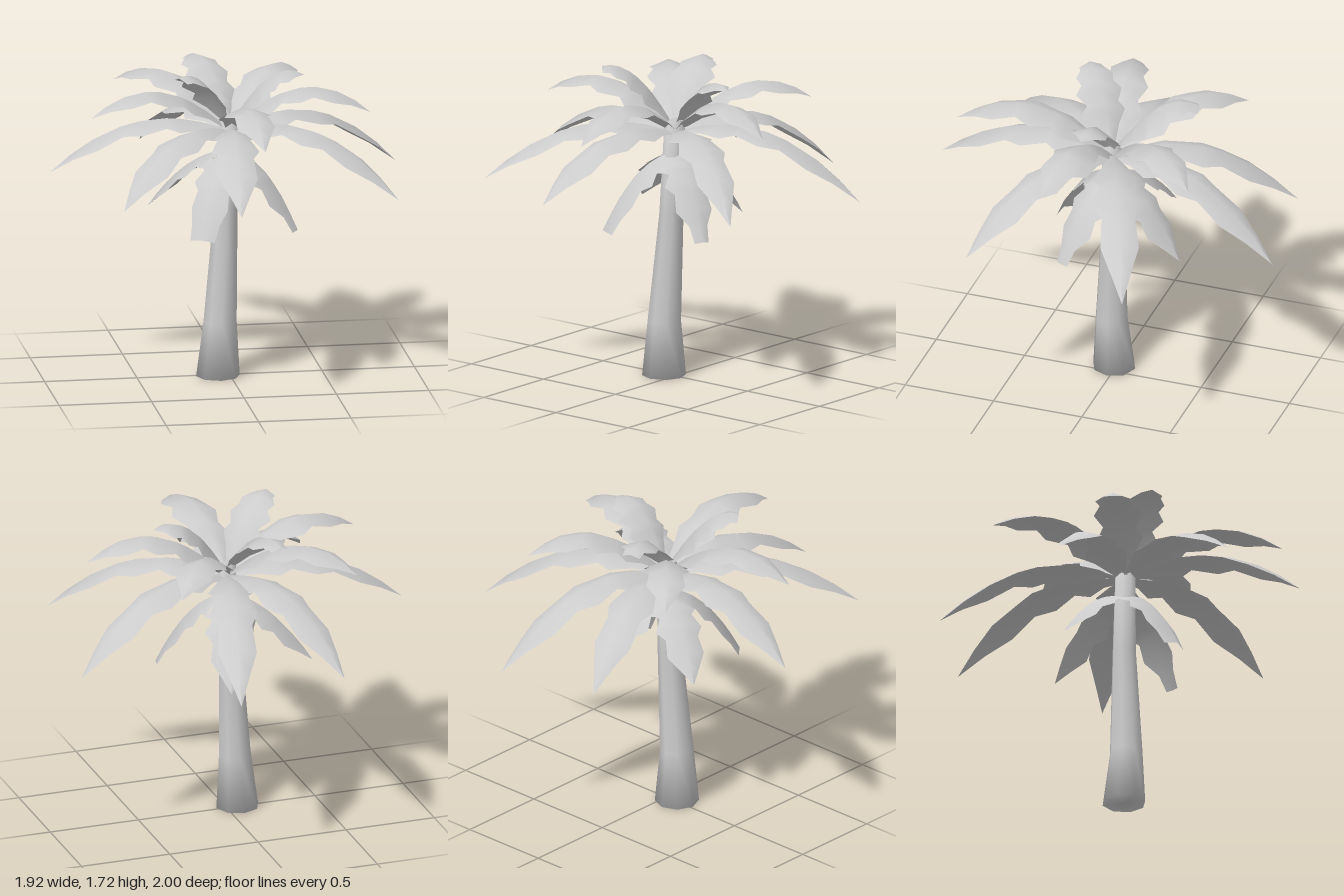
import * as THREE from 'three';
import { toCreasedNormals } from 'three/addons/utils/BufferGeometryUtils.js';

const bark = new THREE.MeshStandardMaterial({ color: 0xcccccc });
const leaf = new THREE.MeshStandardMaterial({ color: 0xcccccc, side: THREE.DoubleSide });

// Leaf outline: [distance along the frond, half width], with notched edges
const OUTLINE = [
  [0, 0.03], [0.13, 0.07], [0.25, 0.122], [0.33, 0.088], [0.48, 0.128],
  [0.59, 0.09], [0.75, 0.103], [0.88, 0.052], [1, 0],
];

// Each tier: height of the frond base, initial upward slope of its arch,
// and tips as [x, y, z, half width of a blunt end]
const TIERS = {
  crownFrond: { y0: 1.42, slope: 0.62, tips: [[-0.15, 1.66, -0.44, 0.05], [0.4, 1.65, 0.04, 0], [-0.31, 1.71, 0.24, 0.06]] },
  upperFrond: {
    y0: 1.38, slope: 0.7,
    tips: [[0.06, 1.45, 0.86, 0], [0.74, 1.46, 0.16, 0], [-0.77, 1.48, 0.14, 0], [-0.54, 1.5, -0.58, 0], [0.46, 1.5, -0.59, 0]],
  },
  middleFrond: {
    y0: 1.36, slope: 0.34,
    tips: [[0.27, 1.02, -1, 0], [-0.34, 1.07, -0.93, 0], [0.96, 1.04, -0.39, 0], [-0.96, 1.13, -0.09, 0],
      [0.83, 1.07, 0.54, 0], [-0.69, 1.13, 0.77, 0], [-0.09, 1.13, 1, 0]],
  },
  hangingFrond: {
    y0: 1.24, slope: -0.1,
    tips: [[0.34, 0.83, 0.18, 0.04], [0.12, 0.84, -0.42, 0], [-0.41, 0.89, -0.22, 0], [-0.21, 0.84, 0.35, 0.07]],
  },
};

// Arched leaf with a raised midrib, running outward from the trunk to its tip
function frond(name, y0, slope, [tx, ty, tz, blunt]) {
  const reach = Math.hypot(tx, tz);
  const dx = tx / reach, dz = tz / reach;
  const drop = ty - y0 - slope;
  const pos = [], index = [];
  OUTLINE.forEach(([t, w], i) => {
    const r = 0.03 + (reach - 0.03) * t;
    const y = y0 + slope * t + drop * t ** 2.17;
    const dy = (slope + 2.17 * drop * t ** 1.17) / reach;
    const len = Math.hypot(1, dy);
    const half = t > 0.8 ? Math.max(w, blunt * (2.1 - 1.1 * t)) : w;
    for (const s of [-1, 0, 1]) {
      const sag = s ? 0.4 * half : 0;
      const out = r + (sag * dy) / len;
      pos.push(dx * out - dz * half * s, y - sag / len, dz * out + dx * half * s);
    }
    if (i) {
      for (const k of [0, 1]) {
        const a = (i - 1) * 3 + k, b = a + 3;
        index.push(a, b, a + 1, a + 1, b, b + 1);
      }
    }
  });
  const geo = new THREE.BufferGeometry();
  geo.setAttribute('position', new THREE.Float32BufferAttribute(pos, 3));
  geo.setIndex(index);
  geo.computeVertexNormals();
  const mesh = new THREE.Mesh(geo, leaf);
  mesh.name = name;
  return mesh;
}

// Leaning eight-sided trunk: rings of [height, radius, x, z]
function trunk() {
  const rings = [[0, 0.118, -0.065, 0.015], [0.3, 0.09, -0.055, 0.025], [0.9, 0.065, -0.022, 0.005], [1.4, 0.055, 0, 0.005]];
  const profile = [
    new THREE.Vector2(0, 0),
    ...rings.map(([y, r]) => new THREE.Vector2(r, y)),
    new THREE.Vector2(0, 1.43),
  ];
  const geo = new THREE.LatheGeometry(profile, 8);
  const p = geo.attributes.position;
  for (let i = 0; i < p.count; i++) {
    const ring = rings.find(([y]) => Math.abs(y - p.getY(i)) < 0.05);
    p.setXYZ(i, p.getX(i) + ring[2], p.getY(i), p.getZ(i) + ring[3]);
  }
  const mesh = new THREE.Mesh(toCreasedNormals(geo, 2), bark);
  mesh.name = 'trunk';
  return mesh;
}

export function createModel() {
  const palm = new THREE.Group();
  palm.name = 'palmTree';
  palm.add(trunk());
  for (const [name, { y0, slope, tips }] of Object.entries(TIERS)) {
    const tier = new THREE.Group();
    tier.name = name + 's';
    for (const tip of tips) tier.add(frond(name, y0, slope, tip));
    palm.add(tier);
  }
  return palm;
}
